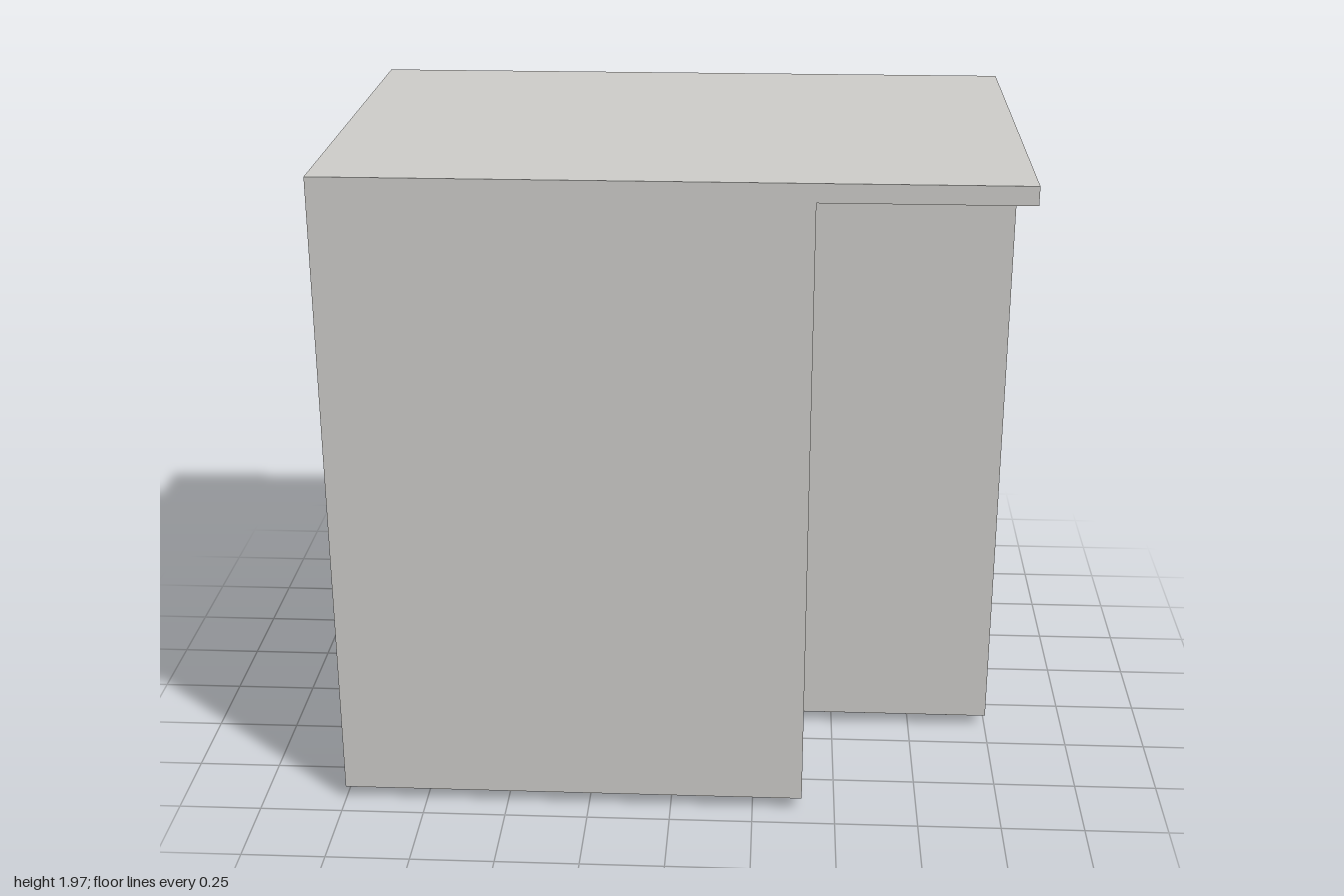
import * as THREE from 'three';

const FLOOR = 0.04, HEAD = 1.39, CEILING = 1.915, TOP = 1.97;
const W = 1, D = 0.677, T = 0.07;           // half width, half depth, wall thickness
const NX = 0.4, NZ = 0.145;                 // inner corner of the entrance recess
const DOOR_BACK = -0.53, DOOR_FRONT = -0.02;

// Plan corners given as [x, z]
const toPlan = (pts) => pts.map(([x, z]) => new THREE.Vector2(x, -z));

function slab(pts, y0, y1, hole) {
  const shape = new THREE.Shape(toPlan(pts));
  if (hole) shape.holes.push(new THREE.Path(toPlan(hole)));
  const geo = new THREE.ExtrudeGeometry(shape, { depth: y1 - y0, bevelEnabled: false });
  return geo.rotateX(-Math.PI / 2).translate(0, y0, 0);
}

// L-shaped outline, inset by t, starting at the back left-hand corner of the plan
const outline = (t) => [
  [-W + t, -D + t], [W - t, -D + t], [W - t, NZ - t],
  [NX - t, NZ - t], [NX - t, D - t], [-W + t, D - t],
];

export function createModel() {
  const model = new THREE.Group();
  const grey = new THREE.MeshStandardMaterial({ color: 0xcccbc8 });
  grey.name = 'warm grey';

  const add = (name, geo, parent = model) => {
    const mesh = new THREE.Mesh(geo, grey);
    mesh.name = name;
    parent.add(mesh);
    return mesh;
  };

  // Floor plate with a threshold tab in the doorway
  add('floor', slab([
    ...outline(T), [-W + T, DOOR_FRONT], [-W, DOOR_FRONT], [-W, DOOR_BACK], [-W + T, DOOR_BACK],
  ], 0, FLOOR));

  // Walls up to the door head, broken at the doorway
  add('lowerWalls', slab([
    [-W, DOOR_BACK], ...outline(0), [-W, DOOR_FRONT],
    [-W + T, DOOR_FRONT], ...outline(T).reverse(), [-W + T, DOOR_BACK],
  ], FLOOR, HEAD));

  // Closed ring of wall above the doorway
  add('upperWalls', slab(outline(0), HEAD, CEILING, outline(T)));

  // Roof also covers the recess
  add('roof', new THREE.BoxGeometry(2 * W, TOP - CEILING, 2 * D)
    .translate(0, (TOP + CEILING) / 2, 0));

  // Door leaf standing open into the room, with shallow panels on both faces
  const door = new THREE.Group();
  door.name = 'openDoor';
  model.add(door);
  const x0 = -W + T + 0.005, x1 = -0.42, thick = 0.035;
  const zMid = DOOR_FRONT + thick / 2;
  add('doorLeaf', new THREE.BoxGeometry(x1 - x0, HEAD - FLOOR - 0.01, thick)
    .translate((x0 + x1) / 2, (HEAD + FLOOR) / 2, zMid), door);
  for (const [a, b] of [[-0.87, -0.66], [-0.63, -0.47]]) {
    for (const [low, high] of [[0.11, 0.55], [0.7, 1.32]]) {
      add('doorPanel', new THREE.BoxGeometry(b - a, high - low, thick + 0.006)
        .translate((a + b) / 2, (low + high) / 2, zMid), door);
    }
  }
  return model;
}
